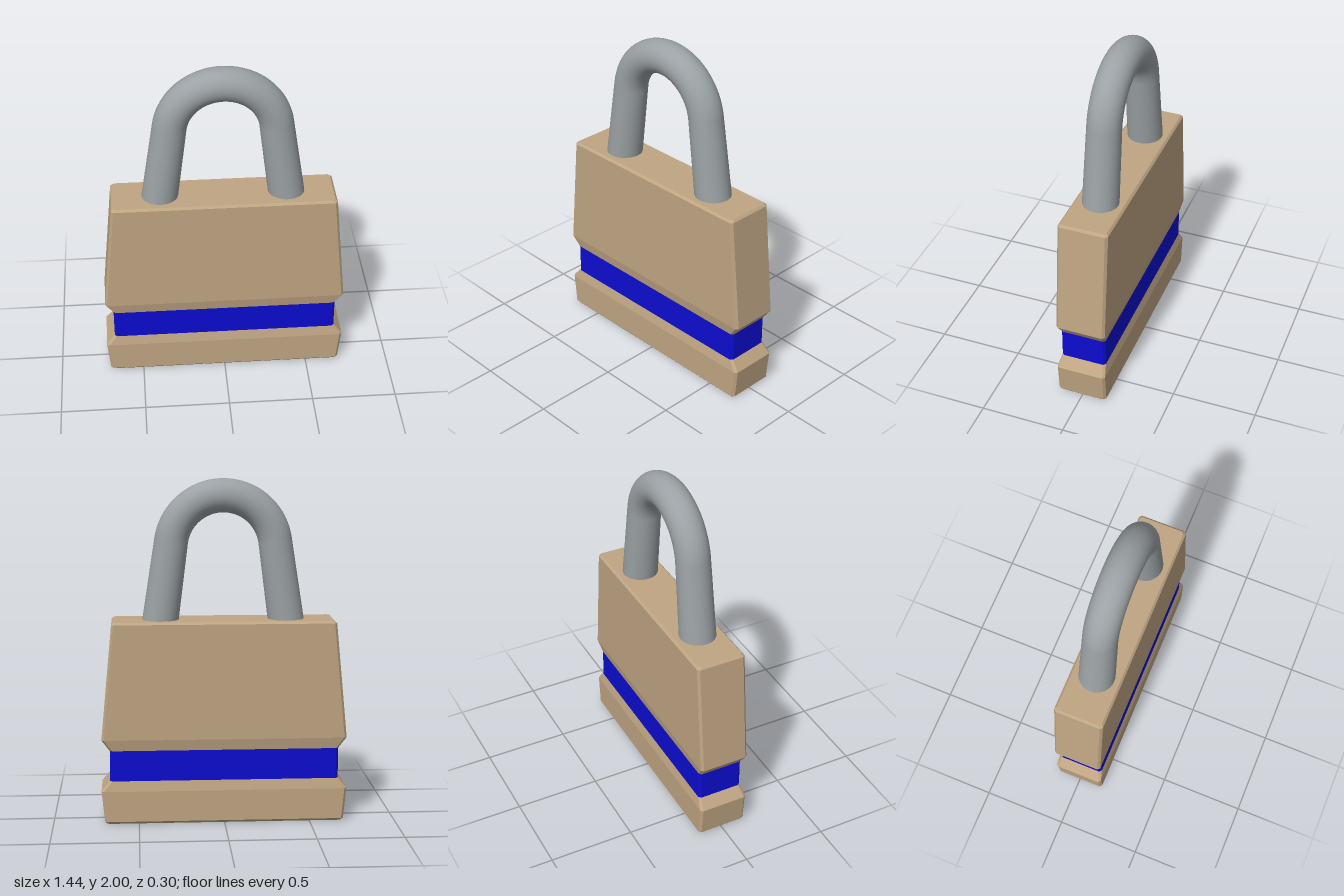
import * as THREE from 'three';

const brass = new THREE.MeshStandardMaterial({ name: 'brass tan', color: 0xbfa583 });
const blue = new THREE.MeshStandardMaterial({ name: 'band blue', color: 0x0c0cd0 });
const steel = new THREE.MeshStandardMaterial({ name: 'steel grey', color: 0x9ba1a4 });

// Stack of chamfered rectangles; each section is [y, halfWidth, halfDepth]
function loftBlock(name, sections, material, bevel = 0.014) {
  const rings = sections.map(([y, w, d]) => [
    [w, -d + bevel], [w, d - bevel], [w - bevel, d], [-w + bevel, d],
    [-w, d - bevel], [-w, -d + bevel], [-w + bevel, -d], [w - bevel, -d],
  ].map(([x, z]) => [x, y, z]));
  const n = 8, pos = [];
  const tri = (a, b, c) => pos.push(...a, ...b, ...c);
  for (let s = 0; s < rings.length - 1; s++) {
    for (let i = 0; i < n; i++) {
      const j = (i + 1) % n, lo = rings[s], hi = rings[s + 1];
      tri(lo[i], hi[i], hi[j]);
      tri(lo[i], hi[j], lo[j]);
    }
  }
  const bottom = rings[0], top = rings[rings.length - 1];
  for (let i = 1; i < n - 1; i++) {
    tri(bottom[0], bottom[i], bottom[i + 1]);
    tri(top[0], top[i + 1], top[i]);
  }
  const geo = new THREE.BufferGeometry();
  geo.setAttribute('position', new THREE.Float32BufferAttribute(pos, 3));
  geo.computeVertexNormals();
  const mesh = new THREE.Mesh(geo, material);
  mesh.name = name;
  return mesh;
}

// Arch with two slightly splayed, tapering legs
function makeShackle() {
  const shackle = new THREE.Group();
  shackle.name = 'shackle';
  const R = 0.304, r = 0.098, cy = 1.598, tilt = THREE.MathUtils.degToRad(8);

  const archGeo = new THREE.TorusGeometry(R, r, 32, 64, Math.PI - 2 * tilt);
  archGeo.rotateZ(tilt);
  const arch = new THREE.Mesh(archGeo, steel);
  arch.name = 'shackleArch';
  arch.position.y = cy;
  shackle.add(arch);

  const length = 0.52;
  for (const side of [1, -1]) {
    const geo = new THREE.CylinderGeometry(r, 0.106, length, 32);
    geo.translate(0, -length / 2, 0);
    const leg = new THREE.Mesh(geo, steel);
    leg.name = side > 0 ? 'leftLeg' : 'rightLeg';
    leg.position.set(side * R * Math.cos(tilt), cy + R * Math.sin(tilt), 0);
    leg.rotation.z = side * tilt;
    shackle.add(leg);
  }
  return shackle;
}

export function createModel() {
  const model = new THREE.Group();
  model.name = 'padlock';
  model.add(
    loftBlock('lowerBody', [
      [0, 0.688, 0.136], [0.014, 0.7, 0.148], [0.195, 0.718, 0.148], [0.255, 0.668, 0.135],
    ], brass),
    loftBlock('band', [[0.25, 0.667, 0.135], [0.44, 0.667, 0.135]], blue),
    loftBlock('upperBody', [
      [0.435, 0.668, 0.135], [0.5, 0.715, 0.148], [1.174, 0.65, 0.148], [1.187, 0.638, 0.136],
    ], brass),
    makeShackle(),
  );
  return model;
}
